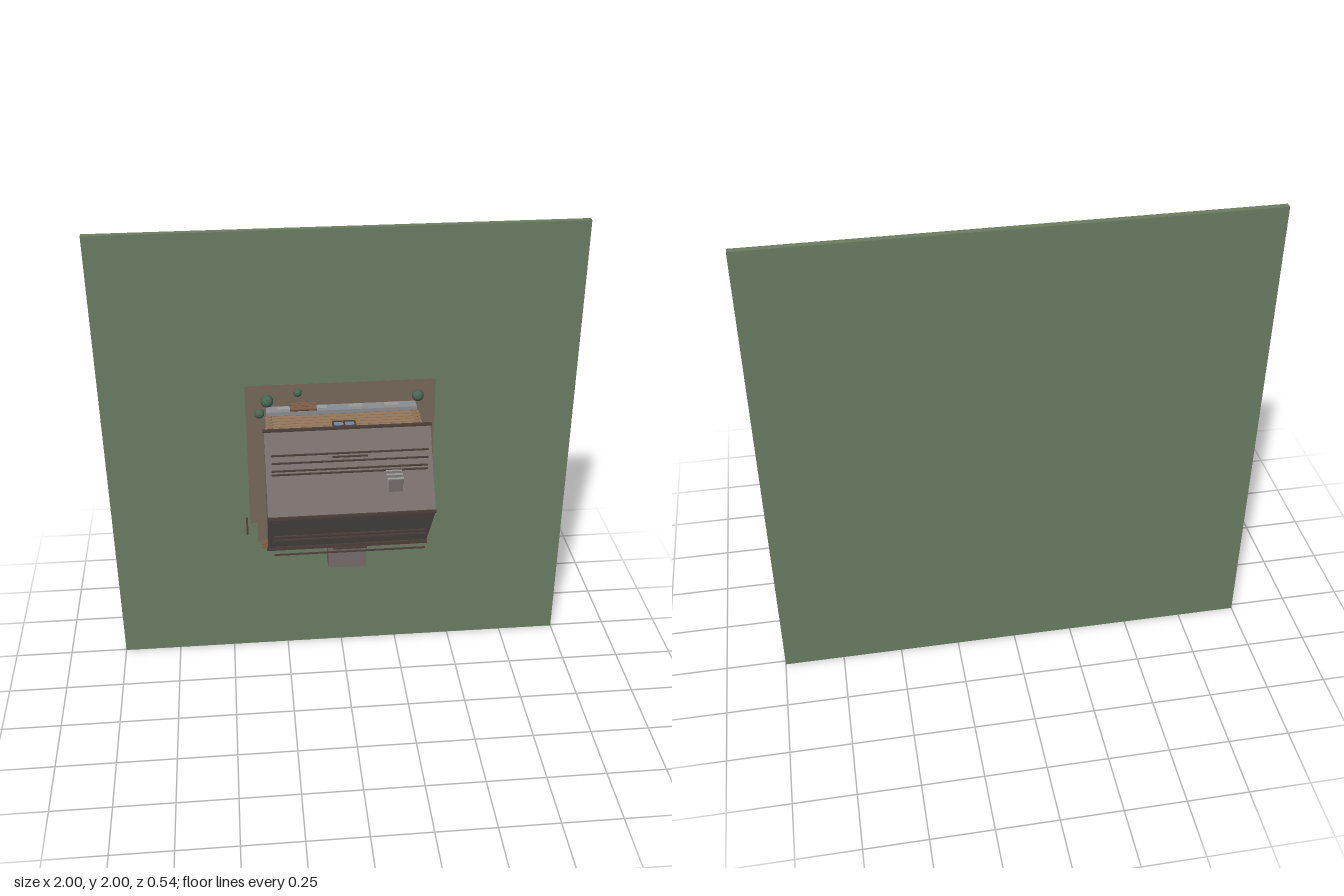
import * as THREE from 'three';

const mat = (color, flat = false) => new THREE.MeshStandardMaterial({ color, flatShading: flat });
const M = {
  grass: mat(0x6b7d62), dirt: mat(0x77685b), stone: mat(0x8a8d90, true), paleStone: mat(0x9a9c9c),
  log: mat(0x8f7358), chink: mat(0xb8a48c), roof: mat(0x756c69, true), trim: mat(0x4c3f3a),
  wood: mat(0x7a5a44), darkWood: mat(0x4a3a30), glass: mat(0x6f8796), bush: mat(0x486650),
};

export function createModel() {
  const root = new THREE.Group();
  root.name = 'cabinOnLawn';
  // Built upright (y = height, z = cabin front), then tipped so the lawn stands vertical
  const scene = new THREE.Group();
  scene.name = 'homestead';
  scene.rotation.x = Math.PI / 2;
  scene.position.set(0, 1, -0.245);
  root.add(scene);

  const add = (name, geo, m, x, y, z, parent = scene) => {
    const mesh = new THREE.Mesh(geo, m);
    mesh.name = name;
    mesh.position.set(x, y, z);
    parent.add(mesh);
    return mesh;
  };
  // Box from its extents
  const box = (name, m, x0, x1, y0, y1, z0, z1) =>
    add(name, new THREE.BoxGeometry(x1 - x0, y1 - y0, z1 - z0), m, (x0 + x1) / 2, (y0 + y1) / 2, (z0 + z1) / 2);

  // Lawn and bare earth
  box('lawn', M.grass, -1, 1, -0.025, 0, -1, 1);
  box('yardEarth', M.dirt, -0.4, 0.4, 0, 0.002, -0.335, 0.335);
  box('leftEarth', M.dirt, -0.37, -0.07, 0, 0.003, 0.3, 0.435);
  box('rightEarth', M.dirt, 0.13, 0.33, 0, 0.003, 0.3, 0.49);
  box('frontStep', M.paleStone, -0.075, 0.075, 0, 0.008, 0.36, 0.44);

  // Stone foundation with set stones
  box('foundation', M.stone, -0.315, 0.315, 0, 0.055, -0.235, 0.23);
  for (let i = 0; i < 4; i++) {
    const x = -0.24 + i * 0.15;
    for (const s of [-1, 1]) {
      box('foundationStone', M.paleStone, x - 0.03, x + 0.03, 0.012, 0.04, s < 0 ? -0.239 : 0.22, s < 0 ? -0.22 : 0.234);
      const z = -0.17 + i * 0.11;
      box('foundationStone', M.paleStone, s * 0.31 - 0.009, s * 0.31 + 0.009, 0.012, 0.04, z - 0.025, z + 0.025);
    }
  }

  // Log walls around a pale core
  box('wallCore', M.chink, -0.295, 0.295, 0.05, 0.3, -0.208, 0.208);
  const longLog = new THREE.CylinderGeometry(0.0105, 0.0105, 0.64, 10).rotateZ(Math.PI / 2);
  const sideLog = new THREE.CylinderGeometry(0.0105, 0.0105, 0.455, 10).rotateX(Math.PI / 2);
  for (let i = 0; i < 10; i++) {
    const y = 0.066 + i * 0.0245;
    for (const s of [-1, 1]) {
      add('wallLog', longLog, M.log, 0, y, s * 0.212);
      add('sideWallLog', sideLog, M.log, s * 0.302, y, 0.002);
    }
  }

  // Windows on sides, back and front; door
  const makeWindow = (x, y, z, turn) => {
    const g = new THREE.Group();
    g.name = 'window';
    g.position.set(x, y, z);
    g.rotation.y = turn;
    scene.add(g);
    add('windowPane', new THREE.BoxGeometry(0.09, 0.08, 0.014), M.glass, 0, 0, 0, g);
    for (const s of [-1, 0, 1]) {
      add('windowUpright', new THREE.BoxGeometry(0.007, 0.09, 0.02), M.trim, s * 0.045, 0, 0, g);
      add('windowRail', new THREE.BoxGeometry(0.097, 0.007, 0.02), M.trim, 0, s * 0.042, 0, g);
    }
  };
  for (const s of [-1, 1]) {
    makeWindow(s * 0.31, 0.18, -0.01, Math.PI / 2);
    makeWindow(s * 0.19, 0.18, 0.218, 0);
  }
  makeWindow(0, 0.18, -0.217, 0);
  box('door', M.darkWood, -0.045, 0.045, 0.055, 0.22, 0.2, 0.228);

  // Solid gabled roof
  const gable = new THREE.Shape([[-0.28, 0.298], [0.28, 0.298], [0, 0.508]].map(p => new THREE.Vector2(...p)));
  const roofGeo = new THREE.ExtrudeGeometry(gable, { depth: 0.666, bevelEnabled: false });
  roofGeo.translate(0, 0, -0.333).rotateY(Math.PI / 2);
  add('roof', roofGeo, M.roof, 0, 0, 0);
  box('ridgeCap', M.trim, -0.335, 0.335, 0.503, 0.512, -0.006, 0.006);
  for (const s of [-1, 1]) {
    box('eaveBoard', M.trim, -0.338, 0.338, 0.292, 0.304, s * 0.281 - 0.005, s * 0.281 + 0.005);
    // Thin battens held level over each slope
    for (const [d, w] of [[0.145, 0.31], [0.162, 0.31], [0.197, 0.31], [0.216, 0.07], [0.232, 0.31]])
      box('roofBatten', M.trim, -w, w, 0.412, 0.418, s * d - 0.003, s * d + 0.003);
  }

  // Banded chimney
  box('chimney', M.roof, 0.143, 0.203, 0.3, 0.495, -0.145, -0.092);
  for (const y of [0.42, 0.452, 0.484])
    box('chimneyBand', M.paleStone, 0.141, 0.205, y - 0.006, y + 0.006, -0.147, -0.09);

  // Porch with hood, deck, posts and rails
  box('porchHood', M.roof, -0.08, 0.08, 0.225, 0.288, 0.2, 0.397);
  box('porchDeck', M.wood, -0.118, 0.118, 0.05, 0.062, 0.21, 0.365);
  for (const s of [-1, 1]) {
    add('porchPost', new THREE.CylinderGeometry(0.006, 0.006, 0.175, 8), M.wood, s * 0.07, 0.14, 0.335);
    box('deckFoot', M.darkWood, s * 0.095 - 0.012, s * 0.095 + 0.012, 0, 0.05, 0.33, 0.355);
    box('porchRail', M.wood, s * 0.095 - 0.025, s * 0.095 + 0.025, 0.115, 0.123, 0.325, 0.335);
    box('deckBeam', M.darkWood, s * 0.075 - 0.004, s * 0.075 + 0.004, 0.2, 0.207, 0.22, 0.34);
    box('sideRail', M.wood, s * 0.112 - 0.004, s * 0.112 + 0.004, 0.105, 0.112, 0.22, 0.33);
  }

  // Barrel with hoops, and crate
  const staves = [[0, 0], [0.023, 0], [0.029, 0.032], [0.023, 0.064], [0, 0.064]].map(p => new THREE.Vector2(...p));
  add('barrel', new THREE.LatheGeometry(staves, 14), M.wood, 0.245, 0.012, 0.291);
  for (const y of [0.026, 0.062])
    add('barrelHoop', new THREE.TorusGeometry(0.027, 0.002, 6, 16).rotateX(Math.PI / 2), M.darkWood, 0.245, y, 0.291);
  box('crate', M.wood, -0.268, -0.21, 0.01, 0.06, 0.262, 0.318);
  for (const y of [0.02, 0.05]) box('crateSlat', M.darkWood, -0.27, -0.208, y - 0.004, y + 0.004, 0.26, 0.32);

  // Tilted board on a stake, and a lone post
  const sign = new THREE.Group();
  sign.name = 'yardBoard';
  sign.position.set(-0.31, 0, 0.362);
  sign.rotation.y = 0.18;
  scene.add(sign);
  for (const z of [-0.008, 0.008])
    add('boardPlank', new THREE.BoxGeometry(0.095, 0.035, 0.005), M.wood, 0, 0.122, z, sign);
  add('boardStake', new THREE.BoxGeometry(0.008, 0.12, 0.008), M.darkWood, 0, 0.06, 0, sign);
  box('lonePost', M.darkWood, -0.419, -0.411, 0, 0.125, 0.308, 0.316);

  // Firewood against the back wall
  for (let i = 0; i < 4; i++)
    add('firewood', new THREE.CylinderGeometry(0.009, 0.009, 0.11, 8).rotateZ(Math.PI / 2), M.wood,
      -0.16, 0.01 + 0.015 * i, -0.246);

  // Shrubs at the corners
  for (const [x, z, r, y] of [[-0.182, -0.308, 0.018, 0.026], [-0.31, -0.275, 0.027, 0.027],
    [-0.343, -0.217, 0.021, 0.025], [0.322, -0.272, 0.025, 0.026], [0.345, 0.193, 0.021, 0.026]])
    add('shrub', new THREE.SphereGeometry(r, 14, 10), M.bush, x, y, z);

  return root;
}
